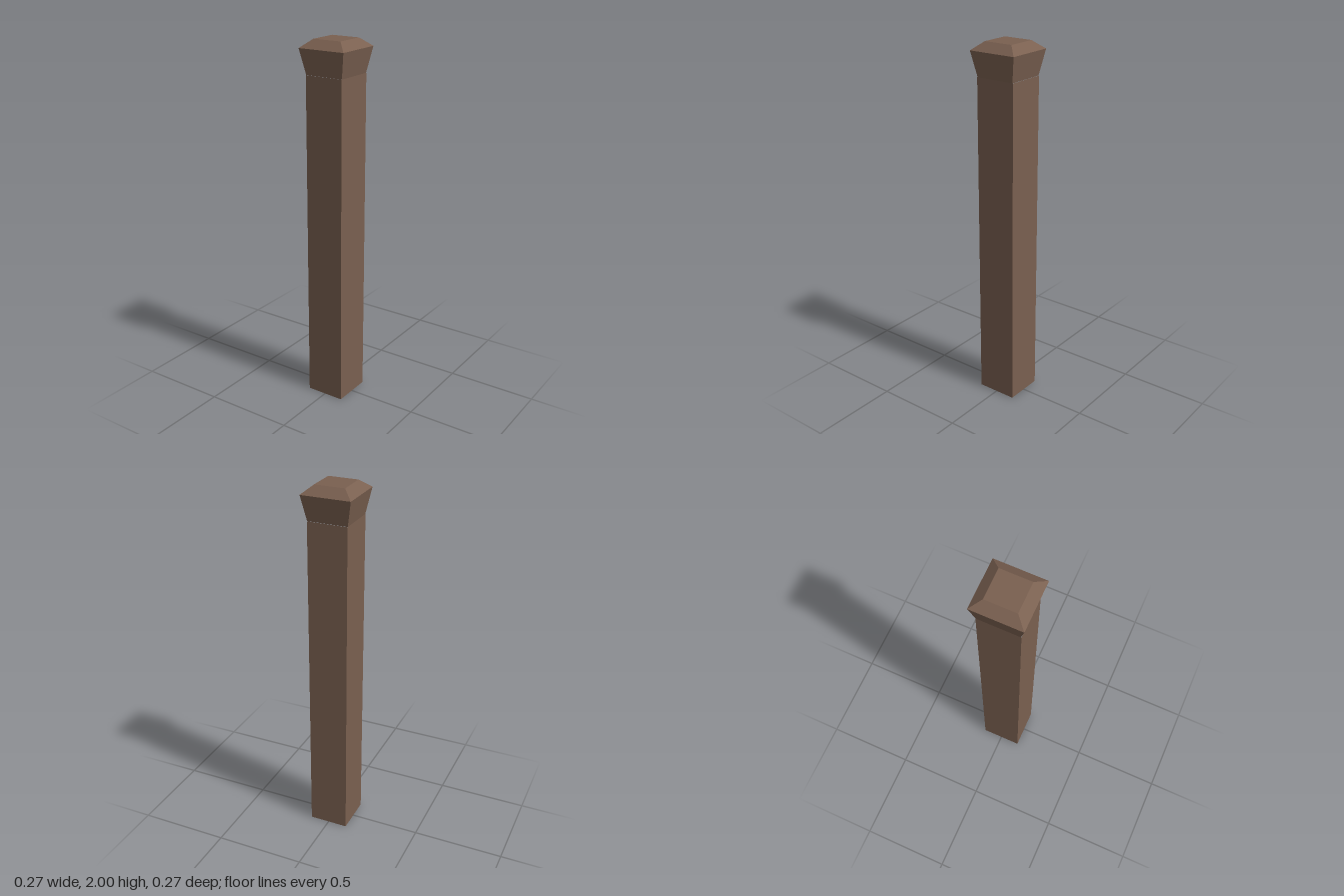
import * as THREE from 'three';

// Square solid of revolution: profile of [half width, height], bottom to top
function squareLathe(name, profile, material, depthScale = 1) {
  const points = profile.map(([half, y]) => new THREE.Vector2(half * Math.SQRT2, y));
  const geometry = new THREE.LatheGeometry(points, 4, Math.PI / 4).toNonIndexed();
  geometry.scale(1, 1, depthScale);
  geometry.computeVertexNormals();
  const mesh = new THREE.Mesh(geometry, material);
  mesh.name = name;
  return mesh;
}

export function createModel() {
  const group = new THREE.Group();
  group.name = 'post';
  const wood = new THREE.MeshStandardMaterial({ color: 0x7a6050, flatShading: true });

  const neckY = 1.82;
  const shaftHalf = 0.109;
  const shaftDepth = 1.04; // shaft is slightly deeper than wide

  // Straight shaft with a closed foot
  group.add(squareLathe('shaft', [[0, 0], [shaftHalf, 0], [shaftHalf, neckY]], wood, shaftDepth));

  // Flared head with a bevelled, flat top
  group.add(squareLathe('cap', [[shaftHalf, neckY], [0.135, 1.956], [0.082, 2], [0, 2]], wood, 1.01));

  return group;
}
